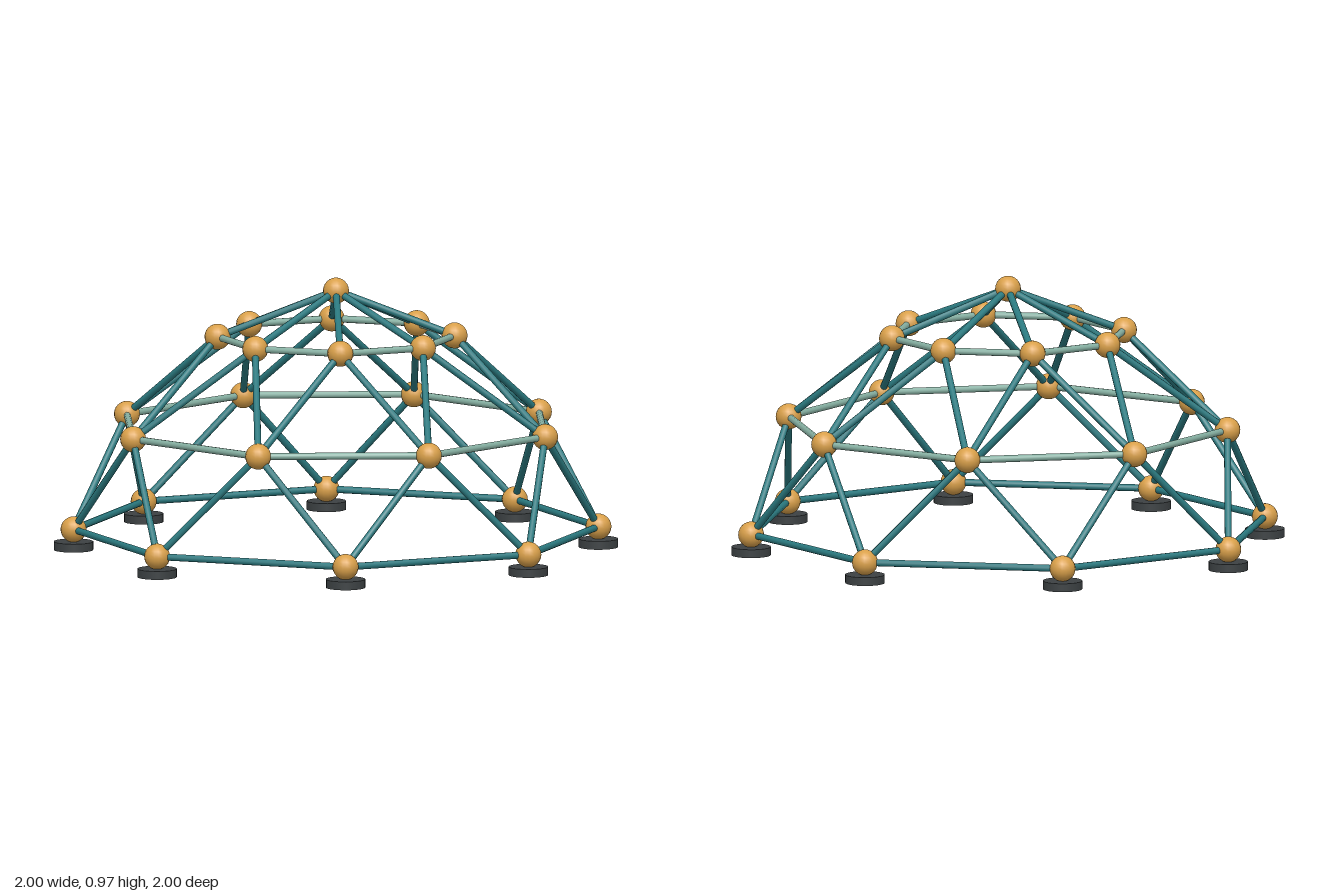
import * as THREE from 'three';

const SIDES = 8;
const material = (color) => new THREE.MeshStandardMaterial({ color });

// Points of one horizontal ring, turned by a number of half steps
function ring(radius, y, halfSteps) {
  return Array.from({ length: SIDES }, (_, i) => {
    const a = ((i + halfSteps / 2) / SIDES) * Math.PI * 2;
    return new THREE.Vector3(Math.cos(a) * radius, y, Math.sin(a) * radius);
  });
}

export function createModel() {
  const model = new THREE.Group();
  const teal = material(0x2b7a80);
  const pale = material(0x86b0a2);
  const brass = material(0xd9a04a);
  const rubber = material(0x3c4143);

  const base = ring(0.93, 0.073, 0);
  const middle = ring(0.79, 0.44, 1);
  const upper = ring(0.42, 0.76, 0);
  const apex = new THREE.Vector3(0, 0.923, 0);

  const rod = new THREE.CylinderGeometry(0.0125, 0.0125, 1, 10);
  const ball = new THREE.SphereGeometry(0.046, 18, 12);
  const disc = new THREE.CylinderGeometry(0.07, 0.07, 0.03, 24);

  function add(name, geometry, mat, position) {
    const mesh = new THREE.Mesh(geometry, mat);
    mesh.name = name;
    mesh.position.copy(position);
    model.add(mesh);
    return mesh;
  }

  // Straight tube between two joints
  function strut(name, a, b, mat) {
    const mesh = add(name, rod, mat, a.clone().lerp(b, 0.5));
    const dir = b.clone().sub(a);
    mesh.scale.y = dir.length();
    mesh.quaternion.setFromUnitVectors(new THREE.Vector3(0, 1, 0), dir.normalize());
  }

  for (let i = 0; i < SIDES; i++) {
    const next = (i + 1) % SIDES;
    // Horizontal rings
    strut('baseRingStrut', base[i], base[next], teal);
    strut('middleRingStrut', middle[i], middle[next], pale);
    strut('upperRingStrut', upper[i], upper[next], pale);
    // Zigzag struts between the rings, and spokes to the top
    for (const j of [i, next]) {
      strut('lowerStrut', base[j], middle[i], teal);
      strut('upperStrut', middle[i], upper[j], teal);
    }
    strut('crownStrut', upper[i], apex, teal);
    // Foot pads
    add('footPad', disc, rubber, new THREE.Vector3(base[i].x, 0.015, base[i].z));
  }

  // Ball joints
  for (const p of [...base, ...middle, ...upper, apex]) add('ballJoint', ball, brass, p);

  return model;
}
